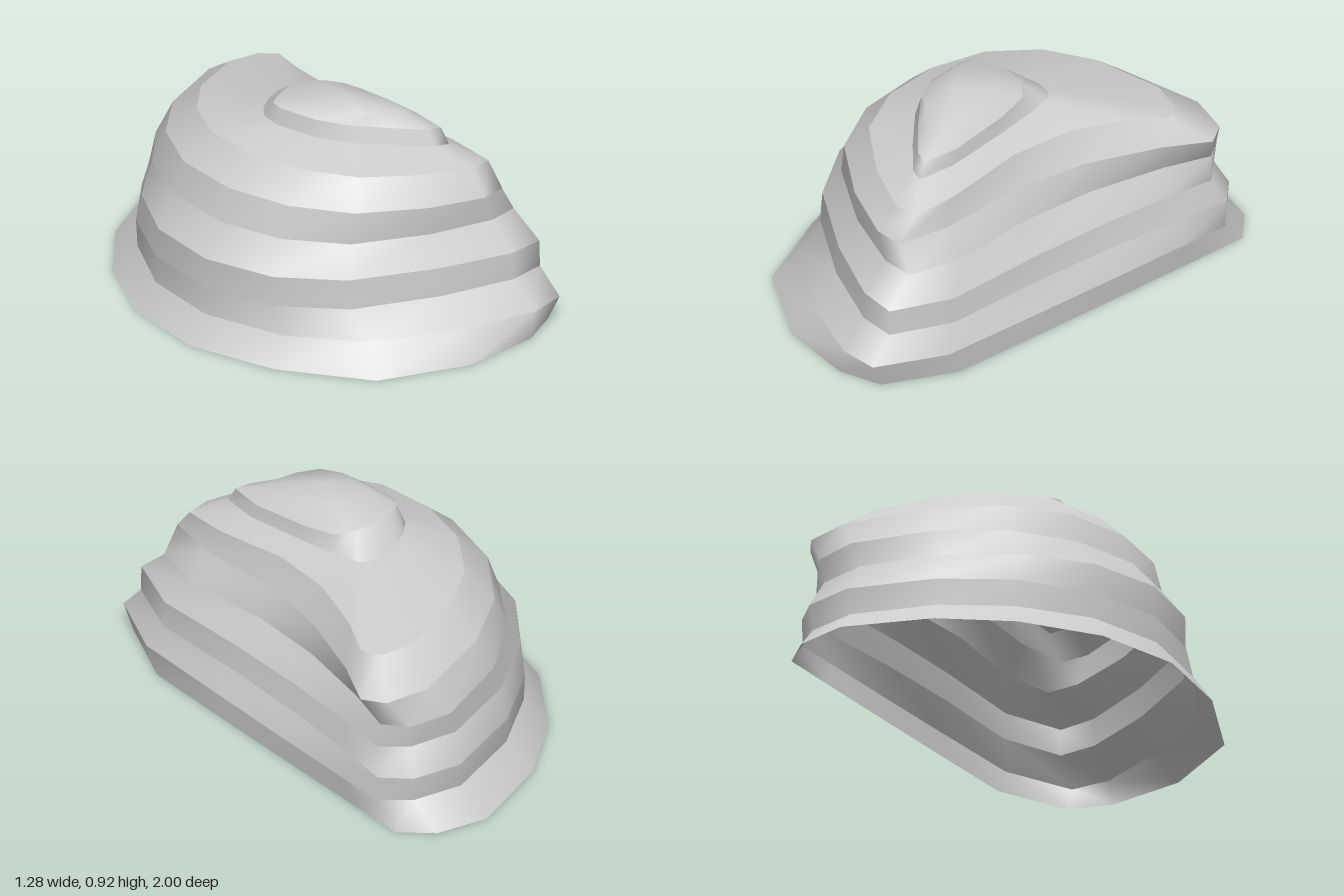
import * as THREE from 'three';

// D-shaped plan: u runs from the round left side (0) to the flat right side (1),
// v runs from back (-1) to front (1)
const PLAN = [
  [0, 0.05], [0.06, 0.42], [0.22, 0.76], [0.5, 0.95], [0.76, 1], [0.9, 0.95], [1, 0.65], [1, 0.2],
  [1, -0.2], [1, -0.6], [1, -0.85], [0.9, -0.96], [0.72, -1], [0.43, -0.85], [0.22, -0.63], [0.06, -0.32],
];

// Each stratum edge: x = [left, right front, right middle, right back],
// y = heights at the same four places, z = [back, middle, front],
// cut = how much the front left is trimmed away
const SLOPE = [
  { x: [-0.64, 0.635, 0.615, 0.58], y: [0, 0, 0, 0], z: [-1, 0, 0.965], cut: -0.15 },
  { x: [-0.56, 0.64, 0.625, 0.6], y: [0.115, 0.11, 0.11, 0.11], z: [-0.88, 0, 1.055], cut: 0.22 },
  { x: [-0.555, 0.63, 0.57, 0.615], y: [0.23, 0.22, 0.22, 0.22], z: [-0.89, 0, 0.96], cut: 0.3 },
  { x: [-0.555, 0.63, 0.55, 0.58], y: [0.36, 0.33, 0.33, 0.33], z: [-0.83, 0, 0.961], cut: 0.33 },
  { x: [-0.455, 0.6, 0.465, 0.59], y: [0.485, 0.44, 0.45, 0.43], z: [-0.84, 0, 0.823], cut: 0.22 },
  { x: [-0.41, 0.52, 0.43, 0.68], y: [0.62, 0.55, 0.58, 0.55], z: [-0.79, 0, 0.823], cut: 0.22 },
  { x: [-0.29, 0.51, 0.37, 0.56], y: [0.73, 0.645, 0.71, 0.66], z: [-0.63, 0, 0.74], cut: 0.22 },
  { x: [-0.115, 0.36, 0.27, 0.22], y: [0.79, 0.725, 0.77, 0.78], z: [-0.18, 0, 0.636], cut: 0.5 },
  { x: [-0.1, 0.345, 0.25, 0.14], y: [0.86, 0.79, 0.835, 0.86], z: [-0.07, 0, 0.6], cut: 0.5 },
];
const DOME = [
  SLOPE[SLOPE.length - 1],
  { x: [-0.03, 0.25, 0.19, 0.12], y: [0.9, 0.855, 0.895, 0.9], z: [0.04, 0.14, 0.43], cut: 0.2 },
];
const PEAK = [0.08, 0.92, 0.21];

// Smooth value along the flat side through back, middle and front
const along = ([, front, mid, back], v) =>
  mid + ((front - back) / 2) * v + ((front + back) / 2 - mid) * v * v;

function ringPoints({ x, y, z, cut }) {
  return PLAN.map(([u, v]) => {
    const trim = v > 0 ? 1 - cut * (1 - u) * v : 1;
    const reach = v > 0 ? z[2] - z[1] : z[1] - z[0];
    return [
      THREE.MathUtils.lerp(x[0], along(x, v), u),
      THREE.MathUtils.lerp(y[0], along(y, v), u),
      z[1] + v * reach * trim,
    ];
  });
}

// Skin a stack of rings smoothly, closing to a peak if one is given
function loft(rings, peak) {
  const n = PLAN.length;
  const points = rings.flatMap(ringPoints);
  const index = [];
  for (let r = 0; r < rings.length - 1; r++) {
    for (let i = 0; i < n; i++) {
      const a = r * n + i, b = r * n + (i + 1) % n;
      index.push(a, b, b + n, a, b + n, a + n);
    }
  }
  if (peak) {
    const top = points.push(peak) - 1;
    for (let i = 0; i < n; i++) index.push(top - n + i, top - n + (i + 1) % n, top);
  }
  const geometry = new THREE.BufferGeometry();
  geometry.setAttribute('position', new THREE.Float32BufferAttribute(points.flat(), 3));
  geometry.setIndex(index);
  geometry.computeVertexNormals();
  return geometry;
}

export function createModel() {
  const group = new THREE.Group();
  group.name = 'layeredRock';
  const stone = new THREE.MeshStandardMaterial({ color: 0xcccccc, side: THREE.DoubleSide });
  const add = (name, geometry) => {
    const mesh = new THREE.Mesh(geometry, stone);
    mesh.name = name;
    group.add(mesh);
  };
  // Hollow stepped body, open below: each band is smooth, with a sharp edge to the next
  for (let i = 0; i < SLOPE.length - 1; i++) add(`stratum${i + 1}`, loft(SLOPE.slice(i, i + 2)));
  // Rounded summit leaning to the front
  add('summitDome', loft(DOME, PEAK));
  return group;
}
